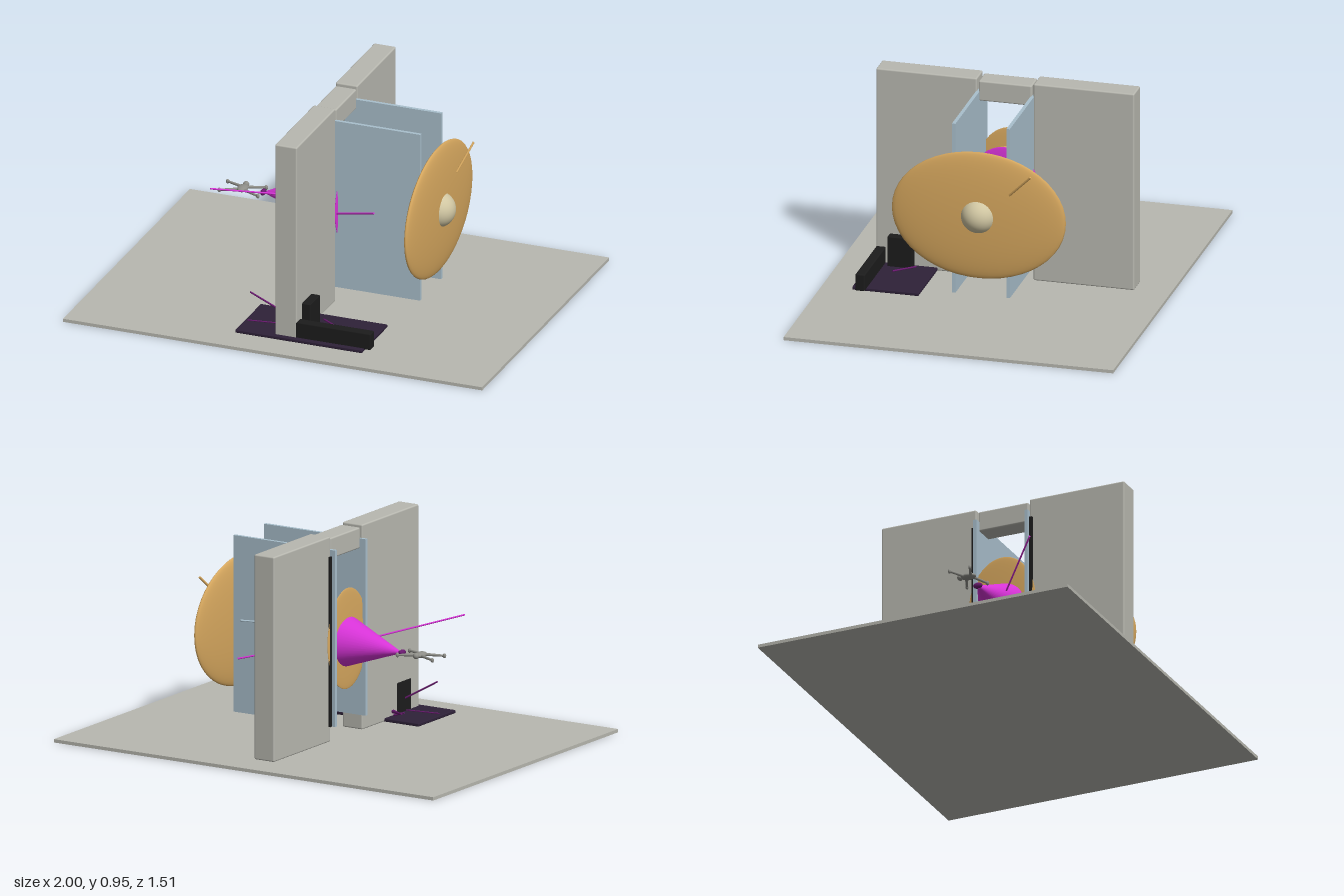
import * as THREE from 'three';
import { RoundedBoxGeometry } from 'three/addons/geometries/RoundedBoxGeometry.js';

const mat = (name, color) => Object.assign(new THREE.MeshStandardMaterial({ color }), { name });

export function createModel() {
  const model = new THREE.Group();
  const stone = mat('stone grey', 0xb8b8b0);
  const glass = mat('pale blue', 0xa9bfcc);
  const gold = mat('gold', 0xd6a75e);
  const cream = mat('cream', 0xd0c6a2);
  const magenta = mat('magenta', 0xd633d6);
  const purple = mat('purple', 0x6a1a70);
  const darkPurple = mat('dark purple', 0x2e2138);
  const black = mat('black', 0x1c1c1c);
  const grey = mat('grey', 0x8e8e88);

  function add(name, geometry, material, x = 0, y = 0, z = 0, parent = model) {
    const mesh = new THREE.Mesh(geometry, material);
    mesh.name = name;
    mesh.position.set(x, y, z);
    parent.add(mesh);
    return mesh;
  }
  // Box given by its lower and upper corners
  function block(name, material, a, b, radius = 0) {
    const s = a.map((v, i) => b[i] - v);
    const g = radius ? new RoundedBoxGeometry(...s, 2, radius) : new THREE.BoxGeometry(...s);
    return add(name, g, material, ...a.map((v, i) => (v + b[i]) / 2));
  }
  // Round bar or cone running from a to b
  function bar(name, material, a, b, r0, r1 = r0, parent = model, sides = 8) {
    const p = new THREE.Vector3(...a), q = new THREE.Vector3(...b);
    const d = q.clone().sub(p);
    const mesh = add(name, new THREE.CylinderGeometry(r1, r0, d.length(), sides), material, 0, 0, 0, parent);
    mesh.position.copy(p).add(q).multiplyScalar(0.5);
    mesh.quaternion.setFromUnitVectors(new THREE.Vector3(0, 1, 0), d.normalize());
    return mesh;
  }
  // Ellipsoid with its three radii
  function ellipsoid(name, material, centre, radii, parent = model) {
    const g = new THREE.SphereGeometry(1, 40, 24).scale(...radii);
    return add(name, g, material, ...centre, parent);
  }

  // Ground slab and gateway
  block('ground', stone, [-1, 0, -0.757], [1, 0.015, 0.757]);
  for (const side of [1, -1]) {
    const z = [0.13 * side, 0.593 * side].sort((a, b) => a - b);
    block('wall', stone, [-0.055, 0.015, z[0]], [0.05, 0.95, z[1]], 0.007);
    block('panel', glass, [-0.08, 0.085, side * 0.125 - 0.008], [0.455, 0.89, side * 0.125 + 0.008]);
    block('seam', black, [-0.065, 0.085, side * 0.14 - 0.008], [-0.054, 0.86, side * 0.14 + 0.008]);
  }
  block('lintel', stone, [-0.05, 0.845, -0.122], [0.05, 0.94, 0.122], 0.007);

  // Discs and cones along the central axis
  ellipsoid('largeDisc', gold, [0.488, 0.48, 0], [0.033, 0.3, 0.4]);
  ellipsoid('hub', cream, [0.485, 0.48, 0], [0.082, 0.082, 0.082]);
  ellipsoid('backDisc', gold, [-0.06, 0.46, 0], [0.009, 0.23, 0.163]);
  ellipsoid('frontDisc', magenta, [0.058, 0.45, 0], [0.01, 0.19, 0.158]);
  bar('goldCone', gold, [-0.04, 0.46, 0], [0.46, 0.48, 0], 0.145, 0.018, model, 40);
  bar('magentaCone', magenta, [-0.05, 0.445, 0], [-0.325, 0.43, 0.01], 0.118, 0.008, model, 40);

  // Thin rods
  bar('discRod', gold, [0.515, 0.6, -0.148], [0.555, 0.71, -0.255], 0.005);
  bar('leftRod', magenta, [0.055, 0.445, 0.14], [0.3, 0.552, 0.298], 0.004);
  bar('rightRod', magenta, [0.055, 0.44, -0.14], [0.32, 0.38, -0.307], 0.004);
  bar('coneRod', magenta, [-0.17, 0.468, 0.072], [-0.47, 0.555, 0.325], 0.004);
  bar('panelRod', glass, [0.17, 0.52, -0.13], [0.32, 0.55, -0.285], 0.004);

  // Knob on the tip of the cone
  ellipsoid('knob', purple, [-0.342, 0.43, 0.012], [0.012, 0.014, 0.022]);
  bar('knobStem', purple, [-0.34, 0.43, 0.012], [-0.315, 0.43, 0.01], 0.006);

  // Small four-limbed figure
  const figure = new THREE.Group();
  figure.name = 'figure';
  model.add(figure);
  ellipsoid('body', grey, [-0.44, 0.433, 0.012], [0.024, 0.014, 0.036], figure);
  ellipsoid('head', grey, [-0.44, 0.435, -0.028], [0.014, 0.014, 0.014], figure);
  for (const sx of [1, -1]) {
    for (const sz of [1, -1]) {
      const foot = [-0.44 + sx * 0.092, 0.43, 0.012 + sz * 0.05];
      bar('limb', grey, [-0.44 + sx * 0.012, 0.433, 0.012 + sz * 0.016], foot, 0.007, 0.005, figure);
      ellipsoid('foot', grey, foot, [0.008, 0.011, 0.007], figure);
    }
  }

  // Mat with low seat blocks
  block('mat', darkPurple, [-0.235, 0.015, 0.31], [0.37, 0.03, 0.615], 0.004);
  block('seatBack', black, [-0.057, 0.025, 0.415], [0.09, 0.17, 0.53], 0.004);
  block('seatArm', black, [0.01, 0.025, 0.548], [0.402, 0.104, 0.592], 0.006);

  // Scattered pieces on the mat
  bar('matRod', purple, [-0.205, 0.176, 0.512], [-0.055, 0.088, 0.48], 0.004);
  bar('matSpike', purple, [-0.07, 0.053, 0.36], [-0.15, 0.063, 0.305], 0.009, 0.003);
  bar('matTwig', purple, [-0.09, 0.045, 0.335], [-0.14, 0.06, 0.34], 0.004);
  bar('matLowRod', purple, [0.1, 0.045, 0.395], [0.2, 0.054, 0.475], 0.004);
  bar('matFlatRod', purple, [-0.22, 0.034, 0.505], [-0.06, 0.034, 0.482], 0.003);
  return model;
}
